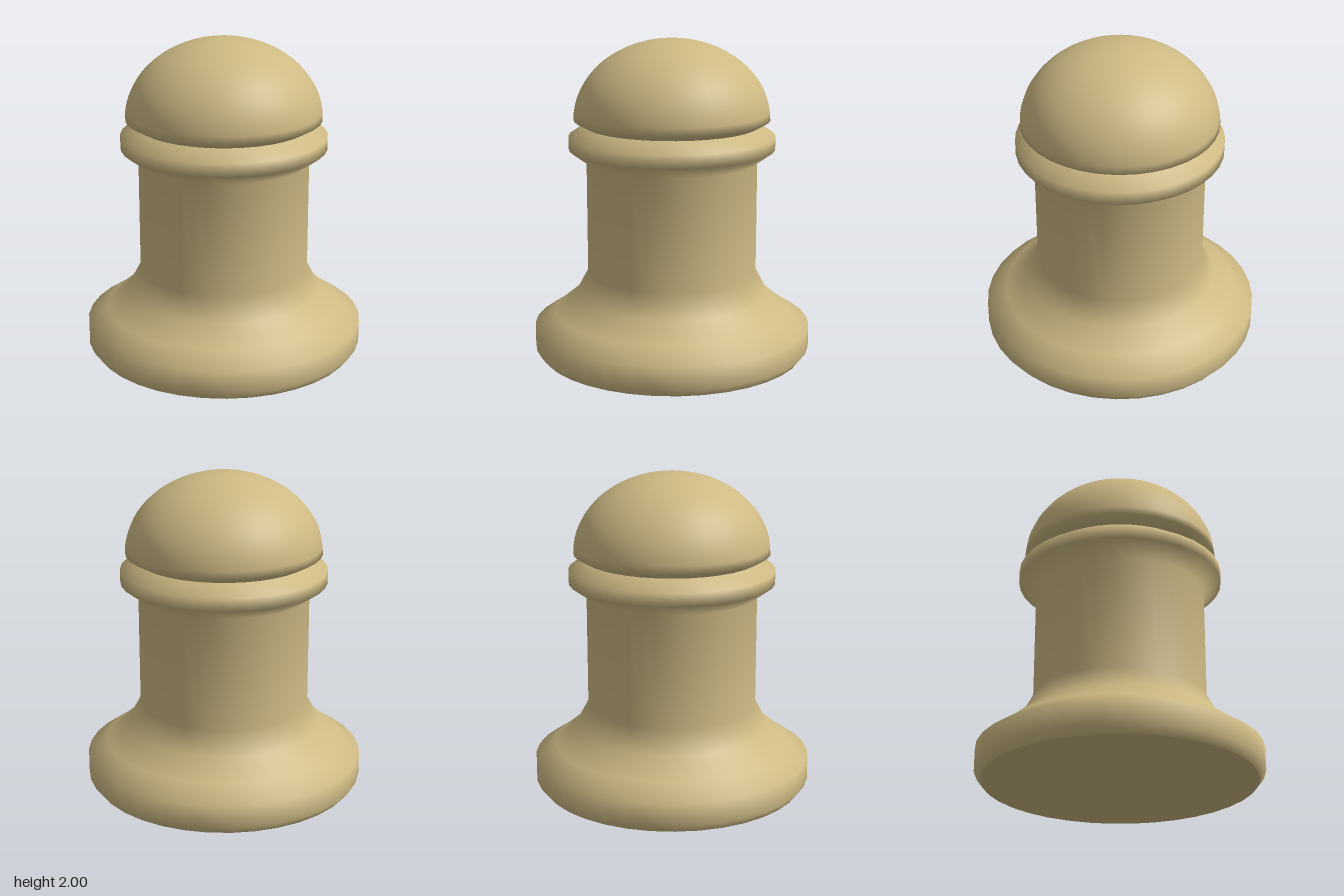
import * as THREE from 'three';

const SEGMENTS = 36;

export function createModel() {
  const model = new THREE.Group();
  model.name = 'domedPost';
  const tan = new THREE.MeshStandardMaterial({ color: 0xcdb983 });
  tan.name = 'tan';

  const add = (name, geometry) => {
    const mesh = new THREE.Mesh(geometry, tan);
    mesh.name = name;
    model.add(mesh);
    return mesh;
  };
  const turn = (points) =>
    new THREE.LatheGeometry(points.map(([r, y]) => new THREE.Vector2(r, y)), SEGMENTS);

  // Flared foot, straight shaft and collar turned as one smooth piece
  add('body', turn([
    [0.835, 0], [0.873, 0.05], [0.873, 0.19], [0.746, 0.275], [0.61, 0.387],
    [0.533, 0.53], [0.533, 1.24], [0.643, 1.32], [0.643, 1.4], [0.543, 1.465],
  ]));

  // Domed cap rising from the notch above the collar
  const cap = [[0.543, 1.465]];
  const steps = 16;
  for (let i = 0; i <= steps; i++) {
    const a = (i / steps) * Math.PI / 2;
    cap.push([i === steps ? 0 : 0.61 * Math.cos(a), 1.502 + 0.498 * Math.sin(a)]);
  }
  add('cap', turn(cap));

  // Flat underside
  add('underside', new THREE.CircleGeometry(0.835, SEGMENTS).rotateX(Math.PI / 2));

  return model;
}
